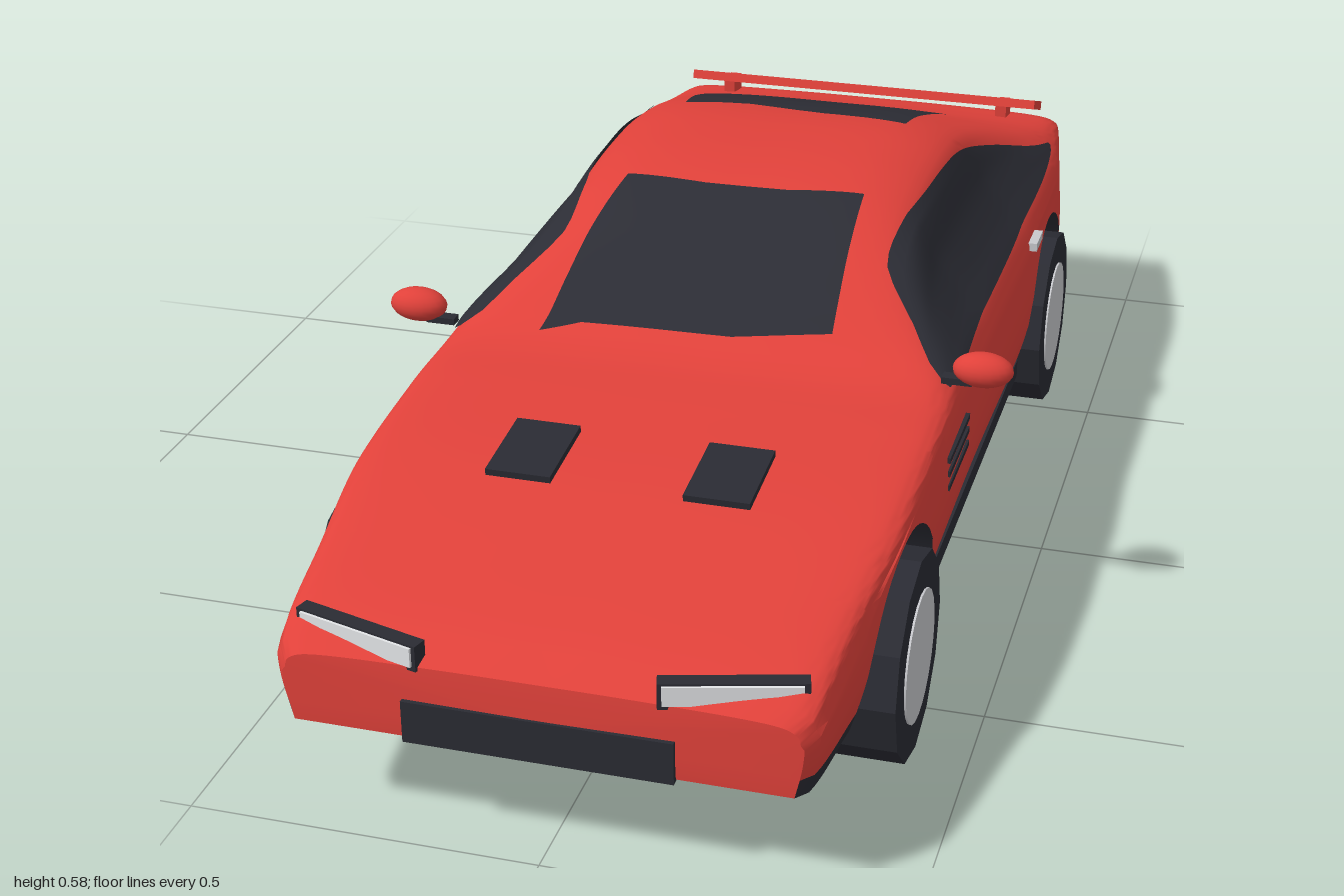
import * as THREE from 'three';
import { toCreasedNormals } from 'three/addons/utils/BufferGeometryUtils.js';

const mat = (name, color, side = THREE.FrontSide) => Object.assign(new THREE.MeshStandardMaterial({ color, side }), { name });
const red = mat('red paint', 0xe0413a);
const dark = mat('dark trim', 0x2a2b33);
const glass = mat('tinted glass', 0x2c2d35, THREE.DoubleSide);
const silver = mat('silver', 0xc8c9cd);
const lens = mat('lens', 0xe2e4e6);
const plateGrey = mat('plate grey', 0xa4a5aa);

// Smooth lookup in a table of [position, value] pairs, position ascending
function lookup(table, p) {
  const n = table.length - 1;
  if (p <= table[0][0]) return table[0][1];
  if (p >= table[n][0]) return table[n][1];
  let i = 0;
  while (table[i + 1][0] < p) i++;
  const slope = (k) => {
    const a = table[Math.max(k - 1, 0)], b = table[Math.min(k + 1, n)];
    return (b[1] - a[1]) / (b[0] - a[0]);
  };
  const [z0, v0] = table[i], [z1, v1] = table[i + 1];
  const d = z1 - z0, t = (p - z0) / d, t2 = t * t, t3 = t2 * t;
  return v0 * (2 * t3 - 3 * t2 + 1) + v1 * (3 * t2 - 2 * t3) + d * (slope(i) * (t3 - 2 * t2 + t) + slope(i + 1) * (t3 - t2));
}

// Body lines along z: ridge height, half width, underside; flank shape over y
const ridge = [[-.95, .385], [-.94, .395], [-.88, .407], [-.8, .427], [-.7, .462], [-.6, .5], [-.5, .535], [-.4, .565], [-.3, .582],
  [-.2, .586], [-.1, .582], [0, .565], [.1, .525], [.18, .47], [.24, .425], [.3, .405], [.4, .397], [.6, .377], [.8, .338], [.93, .305], [.985, .275]];
const halfWidth = [[-.95, .352], [-.93, .363], [-.8, .385], [-.7, .4], [-.4, .404], [0, .4], [.6, .402], [.8, .383], [.96, .368], [.985, .352]];
const underside = [[-.95, .16], [-.75, .138], [-.4, .125], [.4, .125], [.75, .138], [.985, .165]];
const flank = [[.12, .93], [.16, .965], [.22, 1], [.28, 1.005], [.37, .99]];

// Upper section shapes (width fraction, height fraction), shoulder to centre
const upper = (pts) => new THREE.SplineCurve(pts.map((p) => new THREE.Vector2(...p))).getPoints(24);
const hoodShape = upper([[.99, 0], [.985, .3], [.97, .5], [.93, .72], [.85, .85], [.7, .93], [.5, .97], [.25, 1], [0, 1]]);
const cabinShape = upper([[.99, 0], [.95, .14], [.875, .28], [.775, .51], [.71, .74], [.65, .88], [.5, .97], [.3, 1], [0, 1]]);

const wheelZ = [.6, -.565], wheelY = .155, archR = .183;
const SIDE_ROWS = 8;

// Half cross-section from floor centre, up the flank, to the ridge
function section(z) {
  const w = lookup(halfWidth, z), top = lookup(ridge, z), low = lookup(underside, z);
  const shoulder = Math.min(.37, top - .03);
  let bottom = low;
  for (const c of wheelZ) {
    const d = Math.abs(z - c);
    if (d < archR) bottom = Math.max(low, wheelY + Math.sqrt(archR * archR - d * d));
  }
  bottom = Math.min(bottom, shoulder - .004);
  const sill = Math.max(bottom, low + .028);
  const side = (y) => new THREE.Vector2(w * lookup(flank, y), y);
  const pts = [new THREE.Vector2(0, bottom), side(bottom)];
  for (let i = 0; i < SIDE_ROWS; i++) pts.push(side(sill + (shoulder - sill) * i / SIDE_ROWS));
  const cabin = THREE.MathUtils.clamp((top - .4) / .17, 0, 1);
  hoodShape.forEach((h, i) => {
    const p = h.clone().lerp(cabinShape[i], cabin);
    pts.push(new THREE.Vector2(w * p.x, shoulder + (top - shoulder) * p.y));
  });
  return pts;
}

// Surface lookups used to lay glass on the body
function xAt(z, y) {
  const s = section(z);
  for (let i = 2; i < s.length - 1; i++) {
    if (s[i + 1].y >= y) return THREE.MathUtils.mapLinear(y, s[i].y, s[i + 1].y, s[i].x, s[i + 1].x);
  }
  return 0;
}
function yAt(z, x) {
  const s = section(z), ax = Math.abs(x);
  for (let i = s.length - 1; i > 2; i--) {
    if (s[i - 1].x >= ax) return THREE.MathUtils.mapLinear(ax, s[i].x, s[i - 1].x, s[i].y, s[i - 1].y);
  }
  return s[2].y;
}

function bodyGeometry() {
  const zs = [];
  for (let i = 0; i <= 90; i++) zs.push(-.95 + 1.935 * i / 90);
  for (const c of wheelZ) {
    for (const s of [-1, 1]) zs.push(c + s * (archR + .0002), c + s * (archR - .0002), c + s * archR * .985, c + s * archR * .95);
  }
  zs.sort((a, b) => a - b);
  const pos = [], paint = [], trim = [];
  let n = 0;
  for (const z of zs) {
    const half = section(z);
    const ring = half.concat(half.slice(1, -1).reverse().map((p) => new THREE.Vector2(-p.x, p.y)));
    n = ring.length;
    ring.forEach((p) => pos.push(p.x, p.y, z));
  }
  for (let i = 0; i < zs.length - 1; i++) {
    for (let j = 0; j < n; j++) {
      const k = (j + 1) % n, a = i * n + j, b = i * n + k;
      const isTrim = j < 2 || j >= n - 2;
      (isTrim ? trim : paint).push(a, b, b + n, a, b + n, a + n);
    }
  }
  // Nose and tail faces
  const last = (zs.length - 1) * n, mid = pos.length / 3;
  pos.push(0, .22, -.957, 0, .22, .99);
  for (let j = 0; j < n; j++) {
    const k = (j + 1) % n;
    paint.push(mid, k, j, mid + 1, last + j, last + k);
  }
  const g = new THREE.BufferGeometry();
  g.setAttribute('position', new THREE.Float32BufferAttribute(pos, 3));
  g.setIndex(paint.concat(trim));
  g.addGroup(0, paint.length, 0);
  g.addGroup(paint.length, trim.length, 1);
  return toCreasedNormals(g, .6);
}

// Grid patch from a rule (u, v) -> [x, y, z]
function patch(rule, nu = 32, nv = 14) {
  const g = new THREE.PlaneGeometry(1, 1, nu, nv), p = g.attributes.position;
  for (let i = 0; i < p.count; i++) p.setXYZ(i, ...rule(p.getX(i) + .5, p.getY(i) + .5));
  g.computeVertexNormals();
  return g;
}

// Glass laid on the top between two edges given as [x, z] points
function topGlass(frontEdge, rearEdge) {
  const along = (e, u) => {
    const t = u * (e.length - 1), i = Math.min(Math.floor(t), e.length - 2), f = t - i;
    return [0, 1].map((k) => e[i][k] + (e[i + 1][k] - e[i][k]) * f);
  };
  return patch((u, v) => {
    const a = along(frontEdge, u), b = along(rearEdge, u);
    const x = a[0] + (b[0] - a[0]) * v, z = a[1] + (b[1] - a[1]) * v;
    return [x, yAt(z, x) + .005, z];
  }, 30, 24);
}

export function createModel() {
  const car = new THREE.Group();
  car.name = 'sportsCar';
  const add = (name, geo, material, x = 0, y = 0, z = 0, rx = 0, ry = 0, rz = 0) => {
    const m = new THREE.Mesh(geo, material);
    m.name = name;
    m.position.set(x, y, z);
    m.rotation.set(rx, ry, rz);
    car.add(m);
    return m;
  };
  const box = (name, material, w, h, d, ...place) => add(name, new THREE.BoxGeometry(w, h, d), material, ...place);

  add('body', bodyGeometry(), [red, dark]);

  // Windows
  add('windshield', topGlass([[-.245, .262], [-.185, .24], [.05, .237], [.2, .215]], [[-.19, -.02], [-.06, -.01], [.07, -.012], [.19, -.03]]), glass);
  add('rearWindow', topGlass([[-.19, -.34], [-.08, -.355], [.05, -.335], [.19, -.335]], [[-.24, -.74], [-.13, -.71], [.06, -.7], [.2, -.68]]), glass);
  const windowTop = [[-.74, .412], [-.65, .437], [-.5, .49], [-.35, .535], [-.25, .55], [-.1, .553], [0, .545], [.1, .512], [.18, .452], [.25, .402]];
  const windowLow = [[-.74, .408], [-.4, .402], [.25, .396]];

  for (const s of [1, -1]) {
    const side = s > 0 ? 'left' : 'right';
    add(side + 'SideWindow', patch((u, v) => {
      const z = -.74 + .99 * u, lo = lookup(windowLow, z);
      const y = lo + (lookup(windowTop, z) - lo) * v;
      return [s * (xAt(z, y) + .005), y + .002, z];
    }, 40, 14), glass);

    // Wheels
    for (const z of wheelZ) {
      const tyre = new THREE.CylinderGeometry(.15, .15, .12, 12).toNonIndexed();
      tyre.computeVertexNormals();
      add(side + 'Tyre', tyre, dark, s * .36, wheelY, z, 0, 0, Math.PI / 2);
      add(side + 'WheelRim', new THREE.CylinderGeometry(.096, .096, .126, 24), silver, s * .36, wheelY, z, 0, 0, Math.PI / 2);
    }

    // Mirrors: shell, arm and glass
    add(side + 'MirrorShell', new THREE.SphereGeometry(1, 20, 12), red, s * .437, .44, .265).scale.set(.045, .026, .028);
    box(side + 'MirrorArm', dark, .045, .01, .02, s * .4, .42, .265);
    add(side + 'MirrorGlass', new THREE.SphereGeometry(1, 16, 10), silver, s * .437, .44, .257).scale.set(.038, .021, .024);

    // Headlights: wedge tapering outward, swept back
    const wedge = (grow) => {
      const sh = new THREE.Shape();
      sh.moveTo(-.09 - grow, -.014 - grow);
      sh.lineTo(-.02, -.014 - grow);
      sh.lineTo(.09 + grow, .006 - grow);
      sh.lineTo(.09 + grow, .014 + grow * .4);
      sh.lineTo(-.09 - grow, .014 + grow * .4);
      const g = new THREE.ExtrudeGeometry(sh, { depth: .022, bevelEnabled: false });
      if (s < 0) g.rotateY(Math.PI).translate(0, 0, .022);
      return g;
    };
    add(side + 'HeadlightHousing', wedge(.007), dark, s * .25, .29, .942, 0, s * .27);
    add(side + 'HeadlightLens', wedge(0), lens, s * .25, .29, .946, 0, s * .27);

    // Hood vents, fender slats, door handle
    box(side + 'HoodVent', dark, .095, .01, .135, s * .143, .387, .578, .1);
    for (const y of [.322, .3, .277]) box(side + 'FenderSlat', dark, .012, .009, .15, s * .401, y, .26);
    box(side + 'DoorHandle', silver, .018, .014, .06, s * .404, .366, -.4);
    box(side + 'SideSkirt', dark, .03, .03, .78, s * .375, .14, .02);

    // Tail lamp and exhaust
    box(side + 'TailLampHousing', dark, .12, .045, .02, s * .195, .325, -.953);
    box(side + 'TailLamp', red, .085, .022, .006, s * .2, .325, -.965);
    const pipe = [[.018, 0], [.027, 0], [.027, .09], [.02, .09], [.02, .02]].map((p) => new THREE.Vector2(...p));
    add(side + 'Exhaust', toCreasedNormals(new THREE.LatheGeometry(pipe, 16), .6), silver, s * .215, .16, -.91, -Math.PI / 2);
    add(side + 'ExhaustBore', new THREE.CircleGeometry(.021, 16), dark, s * .215, .16, -.975, 0, Math.PI);
  }

  // Nose: grille and splitter
  box('grille', dark, .37, .062, .016, 0, .193, .986);
  box('frontSplitter', dark, .66, .012, .1, 0, .116, .85);

  // Tail: spoiler, plate, diffuser with fins
  box('spoiler', red, .65, .016, .09, 0, .428, -.888, -.35);
  for (const s of [1, -1]) box('spoilerMount', red, .02, .04, .05, s * .26, .408, -.89);
  box('numberPlate', plateGrey, .19, .055, .01, 0, .245, -.957);
  box('diffuser', dark, .56, .014, .13, 0, .115, -.865);
  for (let i = -2; i <= 2; i++) box('diffuserFin', dark, .006, .035, .14, i * .093, .105, -.87);
  return car;
}
